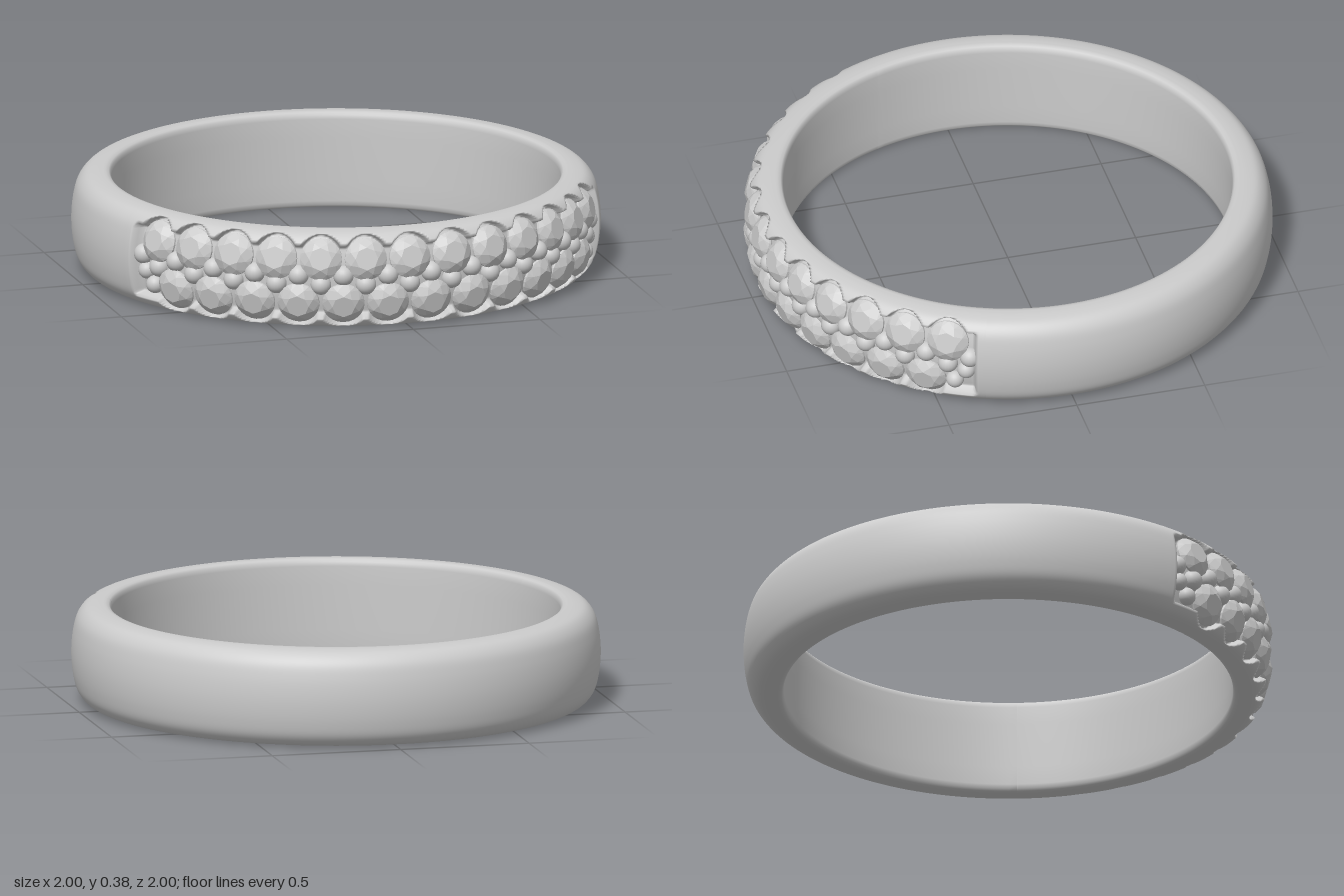
import * as THREE from 'three';
import { ConvexGeometry } from 'three/addons/geometries/ConvexGeometry.js';

const H = 0.375, STEP = 10.2, STONE_R = 0.08, TOP_Y = 0.273, LOW_Y = 0.102;
const END = 67.6; // half angle of the set area, in degrees
const rad = THREE.MathUtils.degToRad;
const smooth = THREE.MathUtils.smoothstep;

// angle and height of every stone: two staggered rows
const stones = [];
for (let i = -6; i <= 6; i++) stones.push({ a: i * STEP, y: TOP_Y, tilt: -0.24 });
for (let i = -6; i < 6; i++) stones.push({ a: (i + 0.5) * STEP, y: LOW_Y, tilt: 0.24 });

// how far the metal is cut away at this angle and height, 0 to 1
function cut(a, y) {
  if (Math.abs(a) > END + 2) return 0;
  const nx = smooth(Math.abs(a), END - 0.6, END + 0.6);
  const ny = smooth(Math.abs(y - H / 2), 0.125, 0.142);
  let c = (1 - nx) * (1 - ny);
  for (const s of stones) {
    const d = Math.hypot(rad(a - s.a) * 0.97, y - s.y);
    c = Math.max(c, 1 - smooth(d, 0.082, 0.094));
  }
  return c;
}

// closed ring section swept round the axis, with the setting pressed into its outside
function bandGeometry() {
  const half = [[0.87, 0], [0.905, 0.002], [0.945, 0.013], [0.975, 0.045], [0.992, 0.1]];
  const pts = [...half, [1, H / 2], ...half.slice().reverse().map(([r, y]) => [r, H - y])];
  const outer = new THREE.CatmullRomCurve3(pts.map(([r, y]) => new THREE.Vector3(r, y, 0)));
  const profile = outer.getSpacedPoints(58).map(p => [p.x, p.y]);
  const inner = [[0.858, 0.004], [0.851, 0.012], [0.848, 0.028], [0.847, 0.1]];
  profile.push(...inner.map(([r, y]) => [r, H - y]), ...inner.slice().reverse());

  const angles = [];
  for (let a = -70; a < 70; a += 0.4) angles.push(a);
  for (let a = 70; a < 290; a += 2) angles.push(a);

  const pos = [], index = [], n = profile.length, m = angles.length;
  angles.forEach((a, i) => {
    profile.forEach(([r, y], j) => {
      const depth = r > 0.9 ? 0.048 * cut(a, y) * smooth(r, 0.9, 0.95) : 0;
      const R = r - depth, t = rad(a);
      pos.push(R * Math.sin(t), y, R * Math.cos(t));
      const i2 = (i + 1) % m, j2 = (j + 1) % n;
      const p = i * n + j, q = i2 * n + j, s = i2 * n + j2, u = i * n + j2;
      index.push(p, q, s, p, s, u);
    });
  });
  const g = new THREE.BufferGeometry();
  g.setAttribute('position', new THREE.Float32BufferAttribute(pos, 3));
  g.setIndex(index);
  g.computeVertexNormals();
  return g;
}

// faceted stone facing +z: round girdle, crown, flat table and pointed base
function stoneGeometry() {
  const pts = [new THREE.Vector3(0, 0, -0.05)];
  const ring = (count, r, z, turn) => {
    for (let i = 0; i < count; i++) {
      const t = (i + turn) / count * Math.PI * 2;
      pts.push(new THREE.Vector3(r * Math.cos(t), r * Math.sin(t), z));
    }
  };
  ring(24, STONE_R, -0.006, 0);
  ring(24, STONE_R, 0.002, 0);
  ring(8, 0.064, 0.019, 0.5);
  ring(8, 0.043, 0.032, 0);
  return new ConvexGeometry(pts);
}

export function createModel() {
  const model = new THREE.Group();
  model.name = 'ring';
  const metal = new THREE.MeshStandardMaterial({ color: 0xcccccc });
  const gem = new THREE.MeshStandardMaterial({ color: 0xcccccc, flatShading: true });

  const band = new THREE.Mesh(bandGeometry(), metal);
  band.name = 'band';
  model.add(band);

  // places a mesh on the outside of the band
  const place = (parent, mesh, name, a, y, r, tilt = 0) => {
    const t = rad(a);
    mesh.name = name;
    mesh.position.set(r * Math.sin(t), y, r * Math.cos(t));
    mesh.rotation.set(tilt, t, 0, 'YXZ');
    parent.add(mesh);
  };

  const stoneGroup = new THREE.Group();
  stoneGroup.name = 'stones';
  const stoneGeo = stoneGeometry();
  for (const s of stones) place(stoneGroup, new THREE.Mesh(stoneGeo, gem), 'stone', s.a, s.y, 0.957, s.tilt);
  model.add(stoneGroup);

  // zigzag of beads holding the stones between the rows
  const beadGroup = new THREE.Group();
  beadGroup.name = 'beads';
  const beadGeo = new THREE.SphereGeometry(0.039, 20, 14);
  for (let k = -13; k <= 13; k++) {
    const y = k % 2 ? 0.209 : 0.174;
    place(beadGroup, new THREE.Mesh(beadGeo, metal), 'bead', k * STEP / 2, y, 0.955);
  }
  // extra beads closing both ends of the lower row
  for (const side of [-1, 1]) {
    for (const [a, y] of [[65.4, 0.148], [62.8, 0.1]]) {
      const bead = new THREE.Mesh(beadGeo, metal);
      bead.scale.setScalar(0.88);
      place(beadGroup, bead, 'endBead', side * a, y, 0.952);
    }
  }
  model.add(beadGroup);
  return model;
}
